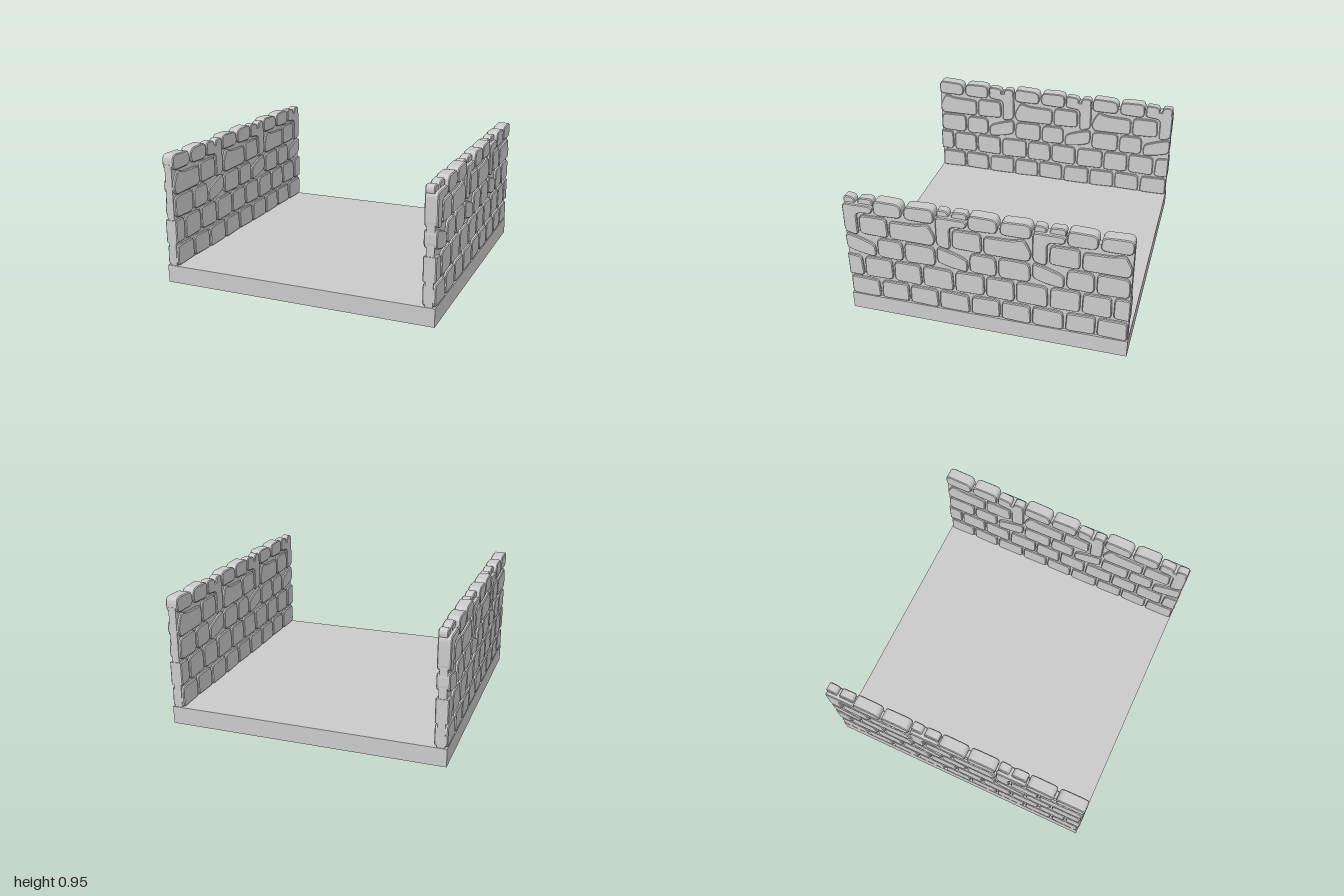
import * as THREE from 'three';

const TILE = 2 / 3;      // the stone pattern repeats three times along each wall
const INNER = 0.91, OUTER = 1;
const BEVEL = 0.006, GAP = 0.006;

// Courses of plain stones: height range, upright joints along one tile, corner radius
const COURSES = [
  { y0: 0.13, y1: 0.288, joints: [0, 0.23, 0.446, TILE], radius: 0.03 },
  { y0: 0.3, y1: 0.478, joints: [-0.115, 0.118, 0.338, 0.552], radius: 0.035 },
  { y0: 0.485, y1: 0.651, joints: [0.226, 0.43, 0.664], radius: 0.045 },
  { y0: 0.659, y1: 0.822, joints: [0.108, 0.328], radius: 0.035 },
  { y0: 0.83, y1: 0.95, joints: [0.225, 0.44, TILE], radius: 0.045 },
  // small cap stones set back behind the outer face
  { y0: 0.87, y1: 0.945, joints: [0, 0.1, 0.225], radius: 0.03, outer: 0.975 },
];

// Irregular stones, as [distance along wall, height] corners
const SLANTED = [[0.003, 0.53], [0.1, 0.5], [0.22, 0.482], [0.218, 0.585], [0.1, 0.63], [0.003, 0.655]];
const HOOKED = [[0.003, 0.668], [0.1, 0.645], [0.1, 0.83], [0.218, 0.84], [0.222, 0.897], [0.003, 0.897]];
const BULGING = [[0.335, 0.66], [0.645, 0.656], [0.665, 0.72], [0.61, 0.83], [0.54, 0.805], [0.335, 0.8]];

// Corners of a plain stone, each drawn in a little by a repeatable amount
function plainCorners(u0, u1, y0, y1) {
  const inset = (i) => 0.004 + 0.004 * Math.sin(40 * u0 + 25 * y0 + 2.3 * i);
  return [
    [u0 + GAP, y0 + inset(0)], [u1 - GAP, y0 + inset(1)],
    [u1 - GAP - inset(2), y1 - inset(2)], [u0 + GAP + inset(3), y1 - inset(3)],
  ];
}

function tileStones() {
  const stones = [SLANTED, HOOKED, BULGING].map((corners) => ({ corners, radius: 0.035, outer: OUTER }));
  for (const { y0, y1, joints, radius, outer = OUTER } of COURSES) {
    for (let i = 0; i < joints.length - 1; i++) {
      stones.push({ corners: plainCorners(joints[i], joints[i + 1], y0, y1), radius, outer });
    }
  }
  return stones;
}

// Round each corner of an outline, then trim it to the length of the wall
function roundedOutline(corners, radius, shift) {
  const pts = [], n = corners.length;
  const v = corners.map(([u, y]) => new THREE.Vector2(u + shift, y));
  v.forEach((c, i) => {
    const toward = (q) => {
      const d = q.clone().sub(c), len = d.length();
      return c.clone().addScaledVector(d, Math.min(radius, len * 0.45) / len);
    };
    const curve = new THREE.QuadraticBezierCurve(toward(v[(i + n - 1) % n]), c, toward(v[(i + 1) % n]));
    pts.push(...curve.getPoints(4));
  });
  pts.forEach((q) => { q.x = THREE.MathUtils.clamp(q.x, 0, 2); });
  return pts.filter((q, i) => q.distanceTo(pts[(i + 1) % pts.length]) > 1e-4);
}

// A stone runs through the wall and has slightly chamfered faces
function stoneGeometry(points, outer) {
  const geometry = new THREE.ExtrudeGeometry(new THREE.Shape(points), {
    depth: outer - INNER - 2 * BEVEL, bevelEnabled: true, bevelSegments: 1,
    bevelThickness: BEVEL, bevelSize: BEVEL, bevelOffset: -BEVEL,
  });
  geometry.rotateY(Math.PI / 2);
  return geometry.translate(INNER + BEVEL, 0, 1);
}

function createWall(name, material) {
  const wall = new THREE.Group();
  wall.name = name;

  // recessed mortar seen in the joints
  const core = new THREE.Mesh(new THREE.BoxGeometry(0.054, 0.75, 1.99), material);
  core.name = 'mortarCore';
  core.position.set(0.955, 0.5, 0);
  wall.add(core);

  // repeat the stones along the wall; the fourth pass fills the last half stones
  const stones = tileStones();
  for (let k = 0; k <= 3; k++) {
    for (const { corners, radius, outer } of stones) {
      const points = roundedOutline(corners, radius, k * TILE);
      const along = points.map((q) => q.x);
      if (Math.max(...along) - Math.min(...along) < 0.02) continue;
      const stone = new THREE.Mesh(stoneGeometry(points, outer), material);
      stone.name = 'stone';
      wall.add(stone);
    }
  }
  return wall;
}

export function createModel() {
  const model = new THREE.Group();
  model.name = 'stoneWalledBridgeSection';
  const material = new THREE.MeshStandardMaterial({ color: 0xcccccc, flatShading: true });

  // floor slab
  const floor = new THREE.Mesh(new THREE.BoxGeometry(2, 0.13, 2), material);
  floor.name = 'floorSlab';
  floor.position.y = 0.065;
  model.add(floor);

  // the same wall on both sides, turned half way round
  const leftWall = createWall('leftWall', material);
  const rightWall = createWall('rightWall', material);
  rightWall.rotation.y = Math.PI;
  model.add(leftWall, rightWall);
  return model;
}
